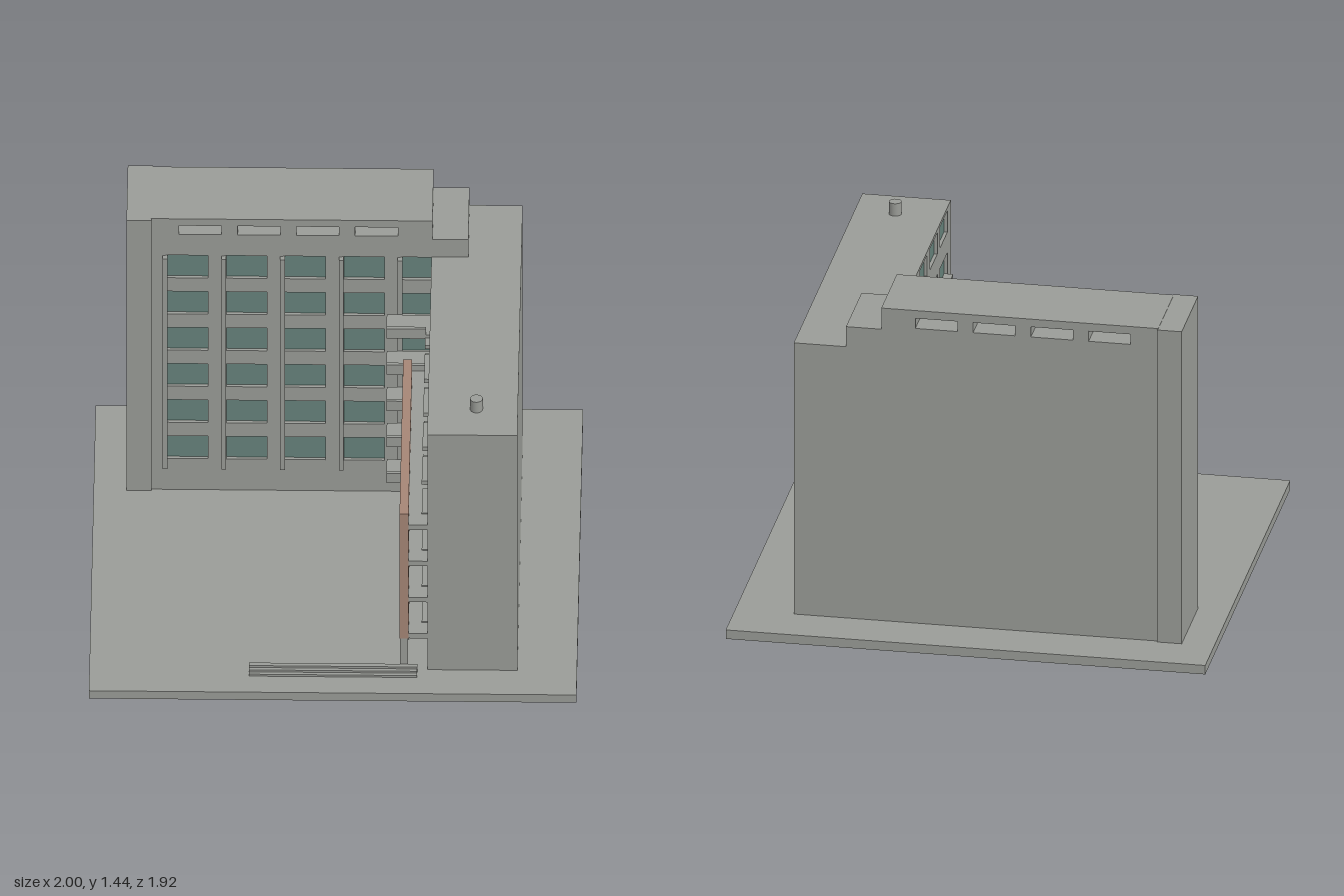
import * as THREE from 'three';

const concrete = new THREE.MeshStandardMaterial({ color: 0x9a9c97 });
concrete.name = 'concrete grey';
const glass = new THREE.MeshStandardMaterial({ color: 0x66827b });
glass.name = 'green glass';
const terracotta = new THREE.MeshStandardMaterial({ color: 0xa58575 });
terracotta.name = 'terracotta';

const ROWS = [0, 1, 2, 3, 4, 5].map((i) => 0.2 + i * 0.187);

export function createModel() {
  const model = new THREE.Group();
  model.name = 'apartmentBlock';

  // Box given by its minimum and maximum corners
  function box(name, x0, x1, y0, y1, z0, z1, material = concrete) {
    const mesh = new THREE.Mesh(new THREE.BoxGeometry(x1 - x0, y1 - y0, z1 - z0), material);
    mesh.position.set((x0 + x1) / 2, (y0 + y1) / 2, (z0 + z1) / 2);
    mesh.name = name;
    model.add(mesh);
    return mesh;
  }

  // Wall from an outline and rectangular holes [u0, u1, v0, v1]
  function wall(name, outline, holes, depth, material = concrete) {
    const shape = new THREE.Shape(outline.map(([u, v]) => new THREE.Vector2(u, v)));
    for (const [u0, u1, v0, v1] of holes) {
      shape.holes.push(new THREE.Path([
        new THREE.Vector2(u0, v0), new THREE.Vector2(u0, v1),
        new THREE.Vector2(u1, v1), new THREE.Vector2(u1, v0),
      ]));
    }
    const mesh = new THREE.Mesh(
      new THREE.ExtrudeGeometry(shape, { depth, bevelEnabled: false }), material);
    mesh.name = name;
    model.add(mesh);
    return mesh;
  }

  box('base', -1, 1, 0, 0.04, -0.96, 0.96);

  // Rear wing: stepped slab with roof slots, recessed windows in its front
  const outline = [[-0.765, 0.04], [0.537, 0.04], [0.537, 1.345], [0.39, 1.345], [0.39, 1.44], [-0.765, 1.44]];
  const slots = [0, 1, 2, 3].map((i) => [-0.65 + i * 0.241, -0.475 + i * 0.241, 1.36, 1.405]);
  const rearWindows = [];
  for (let c = 0; c < 5; c++) {
    const x = -0.705 + c * 0.241;
    for (const y of ROWS) rearWindows.push([x, x + 0.175, y, y + 0.117]);
    box('facadeFin', x - 0.012, x + 0.008, 0.165, 1.25, -0.405, -0.375);
  }
  wall('rearWing', outline, slots, 0.33).position.z = -0.75;
  wall('rearFacade', outline, [...slots, ...rearWindows], 0.02).position.z = -0.42;
  for (const [x0, x1, y0, y1] of rearWindows) {
    box('rearWindow', x0, x1, y0, y1, -0.421, -0.415, glass);
  }
  box('endPier', -0.865, -0.762, 0.04, 1.438, -0.76, -0.39);

  // Side wing, with recessed windows facing the courtyard
  box('sideWing', 0.405, 0.755, 0.04, 1.255, -0.75, 0.798);
  const sideWindows = [];
  for (let c = 0; c < 5; c++) {
    const z = -0.355 + c * 0.228;
    ROWS.forEach((y, i) => {
      sideWindows.push([z, z + 0.165, y + 0.01, y + 0.105]);
      if (i < 5) box('windowSill', 0.362, 0.39, y - 0.01, y + 0.01 + (i < 4 ? 0.02 : 0), z, z + 0.165);
    });
  }
  const facade = wall('sideFacade',
    [[-0.41, 0.04], [0.798, 0.04], [0.798, 1.255], [-0.41, 1.255]], sideWindows, 0.02);
  facade.rotation.y = -Math.PI / 2;
  facade.position.x = 0.406;
  for (const [z0, z1, y0, y1] of sideWindows) {
    box('sideWindow', 0.4, 0.406, y0, y1, z0, z1, glass);
  }

  // Access gallery: floors, pierced screen and posts
  for (const y of ROWS.slice(0, 4)) box('galleryFloor', 0.3, 0.388, y, y + 0.025, -0.24, 0.796);
  const openings = [];
  for (let c = 0; c < 5; c++) {
    const z = -0.21 + c * 0.204;
    for (const y of ROWS.slice(0, 3)) openings.push([z, z + 0.164, y + 0.085, y + 0.18]);
  }
  const screen = wall('galleryScreen',
    [[-0.24, 0.2], [0.798, 0.2], [0.798, 0.845], [-0.24, 0.845]], openings, 0.037, terracotta);
  screen.rotation.y = -Math.PI / 2;
  screen.position.x = 0.309;
  for (let c = 0; c < 6; c++) {
    const z = -0.22 + c * 0.2;
    box('galleryPost', 0.274, 0.307, 0.04, 0.2, z - 0.018, z + 0.016);
  }

  // Corner landings with a front parapet
  for (const y of ROWS.slice(0, 5)) {
    box('landing', 0.203, 0.388, y + 0.005, y + 0.025, -0.375, -0.24);
    box('landingParapet', 0.203, 0.365, y + 0.008, y + 0.055, -0.256, -0.24);
  }

  // Low entrance steps
  for (let i = 0; i < 3; i++) {
    box('entranceStep', -0.345, 0.345, 0.04, 0.07 - i * 0.01, 0.8, 0.82 + i * 0.016);
  }

  // Roof vent
  const vent = new THREE.Mesh(new THREE.CylinderGeometry(0.026, 0.026, 0.06, 24), concrete);
  vent.position.set(0.585, 1.28, 0.622);
  vent.name = 'roofVent';
  model.add(vent);

  return model;
}
